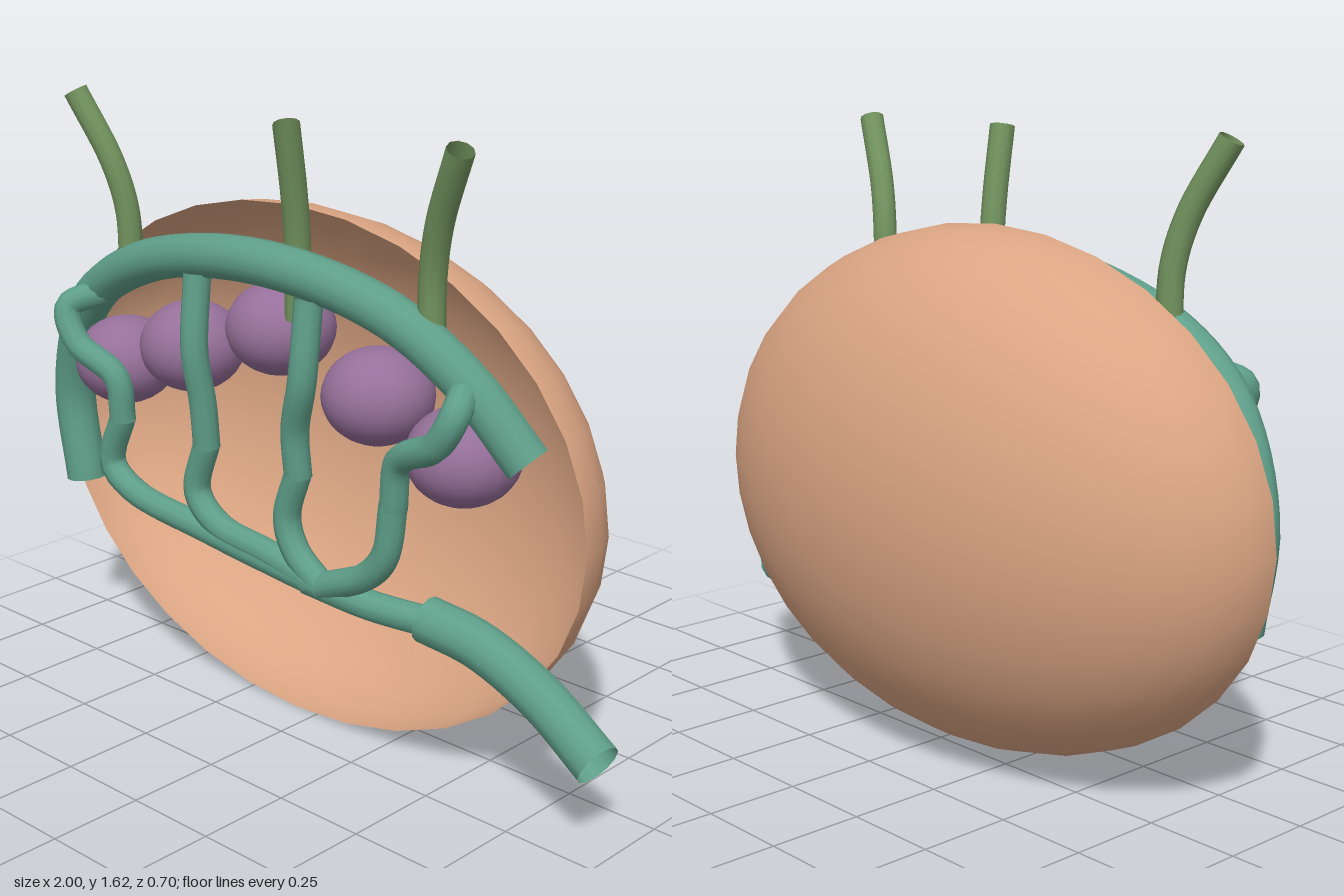
import * as THREE from 'three';

const material = (name, color) => {
  const m = new THREE.MeshStandardMaterial({ color, side: THREE.DoubleSide });
  m.name = name;
  return m;
};

export function createModel() {
  const group = new THREE.Group();
  const tan = material('tan shell', 0xdba583);
  const teal = material('teal vessel', 0x5f9f8a);
  const green = material('green stem', 0x73945f);
  const purple = material('purple bead', 0x96709a);

  const add = (name, geometry, mat) => {
    const mesh = new THREE.Mesh(geometry, mat);
    mesh.name = name;
    group.add(mesh);
    return mesh;
  };
  // open-ended smooth tube through a few points
  const tube = (name, points, radius, mat, sides = 10) => {
    const curve = new THREE.CatmullRomCurve3(points.map(p => new THREE.Vector3(...p)));
    return add(name, new THREE.TubeGeometry(curve, points.length * 6, radius, sides), mat);
  };

  // open half-ellipsoid bowl, hollow towards the front
  const bowl = new THREE.SphereGeometry(1, 32, 10, 0, Math.PI * 2, 0, Math.PI / 2);
  bowl.rotateX(-Math.PI / 2).scale(0.93, 0.685, 0.473);
  add('shell', bowl, tan).position.set(-0.07, 0.69, 0.12);

  // row of flattened beads
  [[-0.67, 0.87], [-0.4, 0.96], [-0.07, 1.07], [0.26, 0.96], [0.53, 0.87]].forEach(([x, y], i) => {
    const bead = new THREE.SphereGeometry(1, 24, 16).scale(0.14, 0.12, 0.14);
    add('bead' + (i + 1), bead, purple).position.set(x, y, 0.165);
  });

  // large arched vessel
  tube('archVessel', [
    [-0.87, 0.48, 0.16], [-0.9, 0.75, 0.165], [-0.78, 1.01, 0.2], [-0.5, 1.18, 0.24], [-0.04, 1.26, 0.27],
    [0.36, 1.2, 0.25], [0.58, 1.07, 0.22], [0.73, 0.9, 0.18],
  ], 0.057, teal, 12);

  // branches: an upper drop and a lower run into the junction
  const junction = [0.17, 0.47, 0.27];
  const branches = [
    [[[-0.68, 1.07, 0.23], [-0.745, 1.03, 0.3], [-0.7, 0.94, 0.31], [-0.58, 0.86, 0.28], [-0.57, 0.74, 0.27]],
      [[-0.57, 0.75, 0.27], [-0.62, 0.61, 0.27], [-0.54, 0.55, 0.27], [-0.25, 0.51, 0.27], junction]],
    [[[-0.25, 1.2, 0.28], [-0.245, 1.0, 0.3], [-0.24, 0.86, 0.28], [-0.24, 0.74, 0.27]],
      [[-0.24, 0.75, 0.27], [-0.28, 0.61, 0.27], [-0.21, 0.54, 0.27], [0, 0.505, 0.27], junction]],
    [[[0.14, 1.2, 0.28], [0.135, 1.0, 0.3], [0.09, 0.86, 0.28], [0.09, 0.74, 0.27]],
      [[0.09, 0.75, 0.27], [0.05, 0.62, 0.27], [0.08, 0.54, 0.27], junction]],
    [[[0.58, 1.07, 0.22], [0.615, 1.02, 0.3], [0.57, 0.94, 0.31], [0.43, 0.86, 0.28], [0.405, 0.74, 0.27]],
      [[0.405, 0.75, 0.27], [0.38, 0.61, 0.27], [0.32, 0.54, 0.27], junction]],
  ];
  branches.forEach(([upper, lower], i) => {
    tube('upperBranch' + (i + 1), upper, 0.036, teal);
    tube('lowerBranch' + (i + 1), lower, 0.036, teal);
  });

  // outflow: thin link, then wide pipe
  tube('outflowLink', [[0.12, 0.475, 0.27], [0.3, 0.45, 0.24], [0.47, 0.44, 0.2]], 0.038, teal);
  tube('outflowPipe', [[0.45, 0.445, 0.2], [0.6, 0.415, 0.18], [0.78, 0.34, 0.175], [0.97, 0.24, 0.2]], 0.059, teal, 12);

  // three upright stems
  const stems = [[-0.58, -0.58, -0.61, -0.7], [0.04, 0.045, 0.055, 0.07], [0.47, 0.475, 0.51, 0.6]];
  stems.forEach((xs, i) => tube('stem' + (i + 1), [
    [xs[0], 1.12, 0.215], [xs[1], 1.3, 0.22], [xs[2], 1.43, 0.24], [xs[3], 1.61, 0.28],
  ], 0.033, green));

  return group;
}
